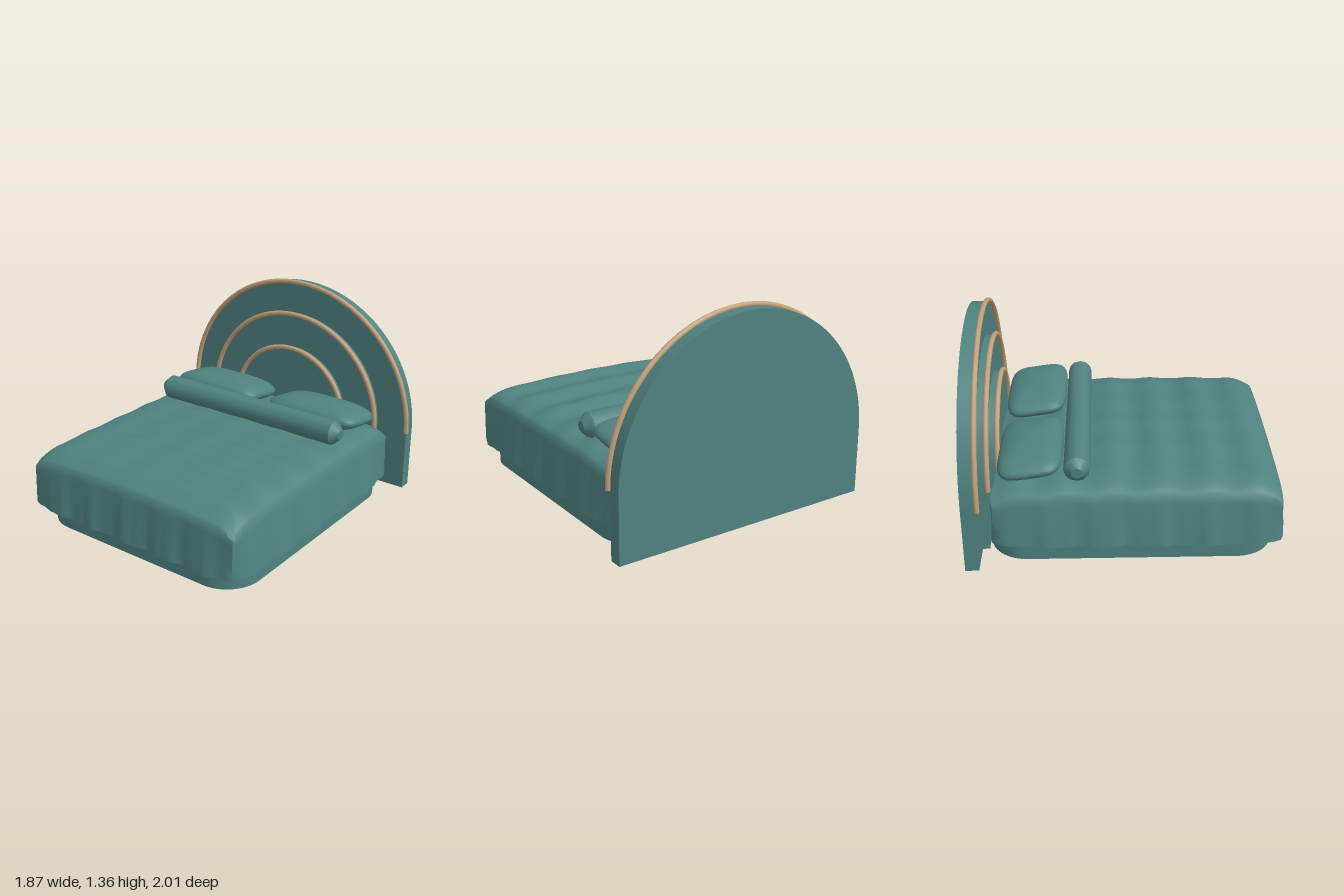
import * as THREE from 'three';
import { toCreasedNormals } from 'three/addons/utils/BufferGeometryUtils.js';

const teal = new THREE.MeshStandardMaterial({ name: 'teal fabric', color: 0x4f8280 });
const tealCloth = teal; // one fabric colour throughout
const tan = new THREE.MeshStandardMaterial({ name: 'tan trim', color: 0xc4a27c });
tealCloth.side = THREE.DoubleSide;

function add(parent, name, geometry, material, x = 0, y = 0, z = 0) {
  const mesh = new THREE.Mesh(geometry, material);
  mesh.name = name;
  mesh.position.set(x, y, z);
  parent.add(mesh);
  return mesh;
}

const ARCH_Y = 0.43;

// Arched slab standing on the floor, from z0 forward to z1
function archPanel(r, depth) {
  const s = new THREE.Shape();
  s.moveTo(-r, 0);
  s.lineTo(r, 0);
  s.lineTo(r, ARCH_Y);
  s.absarc(0, ARCH_Y, r, 0, Math.PI, false);
  s.closePath();
  return toCreasedNormals(
    new THREE.ExtrudeGeometry(s, { depth, bevelEnabled: false, curveSegments: 32 }), 0.5);
}

// Low plinth with rounded corners
function plinth(w, d, r, h) {
  const x = w / 2, y = d / 2, s = new THREE.Shape();
  s.absarc(x - r, y - r, r, 0, Math.PI / 2);
  s.absarc(-x + r, y - r, r, Math.PI / 2, Math.PI);
  s.absarc(-x + r, -y + r, r, Math.PI, Math.PI * 1.5);
  s.absarc(x - r, -y + r, r, Math.PI * 1.5, Math.PI * 2);
  s.closePath();
  const g = new THREE.ExtrudeGeometry(s, { depth: h, bevelEnabled: false, curveSegments: 8 });
  g.rotateX(-Math.PI / 2);
  return toCreasedNormals(g, 0.5);
}

// Quilted cover: rectangular loops widening from the middle, then falling as a skirt
function coverlet() {
  const side = 40, n = side * 4, topRings = 28, skirtRings = 6;
  const HX = 0.8, HZ = 0.885, CZ = 0.06, HEM = 0.125;
  const pos = [], idx = [];
  const topY = (u, v) => {
    const z = CZ + HZ * v;
    const edge = Math.max(Math.abs(u), Math.abs(v));
    const wave = 0.016 * Math.cos((z - 0.2) * Math.PI * 2 / 0.3) * (1 - edge ** 8);
    const backDip = v < 0 ? 0.045 * v ** 4 : 0.015 * v ** 4;
    return 0.533 + wave - backDip - 0.028 * u * u - 0.045 * Math.abs(u) ** 14
      - (v > 0 ? 0.055 * v ** 14 : 0.015 * v ** 14) + 0.004 * Math.cos(u * 16) * (1 - edge ** 4);
  };
  for (let k = 0; k <= topRings + skirtRings; k++) {
    const s = Math.sin(Math.min(k / topRings, 1) * Math.PI / 2) * 0.5 + Math.min(k / topRings, 1) * 0.5;
    const t = Math.max(0, (k - topRings) / skirtRings);
    for (let i = 0; i < n; i++) {
      const q = Math.floor(i / side), f = (i % side) / side * 2 - 1;
      // walk +x, +z, -x, -z sides in turn
      const u = [1, -f, -1, f][q], v = [f, 1, -f, -1][q];
      const y0 = topY(u * s, v * s);
      const ripple = 0.011 * Math.sin(f * 17 + q * 2) + 0.006 * Math.sin(f * 39 + q);
      const flare = t ** 0.8 * ((q === 1 ? 0.035 : q === 3 ? 0.025 : 0.043) + ripple) * (1 - f ** 8)
        + 0.012 * t;
      const nx = [1, 0, -1, 0][q], nz = [0, 1, 0, -1][q];
      pos.push(u * s * HX + nx * flare, y0 + (HEM - y0) * t, CZ + v * s * HZ + nz * flare);
    }
  }
  for (let k = 0; k < topRings + skirtRings; k++) {
    for (let i = 0; i < n; i++) {
      const j = (i + 1) % n, a = k * n + i, b = k * n + j, c = a + n, d = b + n;
      if (k > 0) idx.push(a, b, c);
      idx.push(b, d, c);
    }
  }
  const g = new THREE.BufferGeometry();
  g.setAttribute('position', new THREE.Float32BufferAttribute(pos, 3));
  g.setIndex(idx);
  return toCreasedNormals(g, 1.0);
}

// Soft cushion: a sphere squared off in plan
function cushion(hx, hy, hz) {
  const g = new THREE.SphereGeometry(1, 40, 20), p = g.attributes.position;
  for (let i = 0; i < p.count; i++) {
    const x = p.getX(i), y = p.getY(i), z = p.getZ(i), r = Math.hypot(x, z);
    if (r < 1e-6) { p.setXYZ(i, 0, y * hy, 0); continue; }
    const square = (c) => Math.sign(c) * Math.abs(c / r) ** 0.45 * r;
    p.setXYZ(i, square(x) * hx, y * hy, square(z) * hz);
  }
  g.computeVertexNormals();
  return g;
}

export function createModel() {
  const bed = new THREE.Group();
  bed.name = 'bed';

  // Headboard: three stepped arches, each edged with a tan rim
  const headboard = new THREE.Group();
  headboard.name = 'headboard';
  bed.add(headboard);
  const arches = [
    ['outer', 0.91, 0.917, -1, 0.085, -0.9],
    ['middle', 0.685, 0.692, -0.915, 0.045, -0.857],
    ['inner', 0.445, 0.452, -0.87, 0.045, -0.815],
  ];
  for (const [label, r, rimR, z, depth, rimZ] of arches) {
    add(headboard, label + 'Panel', archPanel(r, depth), teal, 0, 0, z);
    add(headboard, label + 'Rim', new THREE.TorusGeometry(rimR, 0.017, 8, 32, Math.PI),
      tan, 0, ARCH_Y, rimZ);
    for (const sx of [-1, 1]) {
      const cap = new THREE.CircleGeometry(0.017, 8).rotateX(Math.PI / 2);
      add(headboard, label + 'RimEnd', cap, tan, sx * rimR, ARCH_Y, rimZ);
    }
  }

  // Base and cover
  add(bed, 'base', plinth(1.6, 1.785, 0.24, 0.3), teal, 0, 0, 0.0275);
  add(bed, 'coverlet', coverlet(), tealCloth);

  // Pillows, leaning back slightly
  for (const sx of [-1, 1]) {
    const pillow = add(bed, sx > 0 ? 'leftPillow' : 'rightPillow',
      cushion(0.35, 0.092, 0.205), teal, sx * 0.405, 0.575, -0.602);
    pillow.rotation.x = -0.14;
  }

  // Bolster with tapered ends
  const profile = [[0, -0.74], [0.035, -0.74], [0.082, -0.69], [0.082, 0.69], [0.035, 0.74], [0, 0.74]]
    .map(([r, y]) => new THREE.Vector2(r, y));
  const roll = toCreasedNormals(new THREE.LatheGeometry(profile, 12), 0.6);
  roll.rotateZ(Math.PI / 2);
  add(bed, 'bolster', roll, teal, 0, 0.58, -0.31);

  return bed;
}
